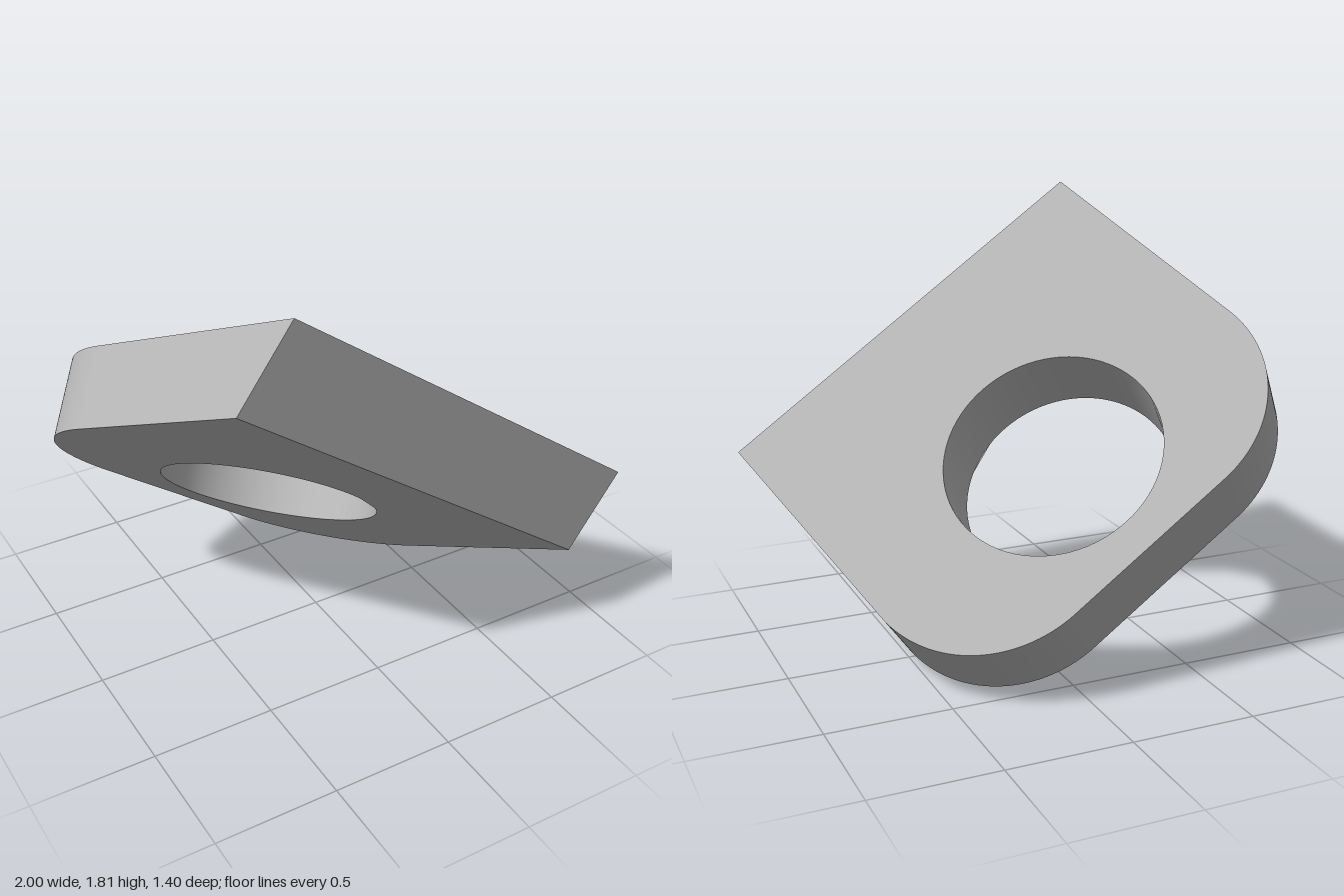
import * as THREE from 'three';
import { toCreasedNormals } from 'three/addons/utils/BufferGeometryUtils.js';

const HALF_WIDTH = 0.918, LENGTH = 1.617, CORNER = 0.54;
const THICKNESS = 0.325, HOLE_Y = 1.027, HOLE_RADIUS = 0.447;
const TILT = Math.PI / 6;

export function createModel() {
  const group = new THREE.Group();
  group.name = 'lugPlate';
  const grey = new THREE.MeshStandardMaterial({ color: 0xb4b4b4 });
  grey.name = 'plain grey';

  // Outline: square at the root, rounded at the far corners, with a round hole
  const inner = HALF_WIDTH - CORNER;
  const outline = new THREE.Shape();
  outline.moveTo(-HALF_WIDTH, 0);
  outline.lineTo(HALF_WIDTH, 0);
  outline.absarc(inner, LENGTH - CORNER, CORNER, 0, Math.PI / 2, false);
  outline.absarc(-inner, LENGTH - CORNER, CORNER, Math.PI / 2, Math.PI, false);
  outline.closePath();
  const hole = new THREE.Path();
  hole.absarc(0, HOLE_Y, HOLE_RADIUS, 0, Math.PI * 2, true);
  outline.holes.push(hole);

  const geometry = new THREE.ExtrudeGeometry(outline, {
    depth: THICKNESS, bevelEnabled: false, curveSegments: 40,
  });
  geometry.translate(0, 0, -THICKNESS);

  // Bevel the root so that its end face stands upright once tilted
  const p = geometry.attributes.position;
  for (let i = 0; i < p.count; i++) {
    if (Math.abs(p.getY(i)) < 1e-5) p.setY(i, -p.getZ(i) * Math.tan(TILT));
  }

  const plate = new THREE.Mesh(toCreasedNormals(geometry, 0.5), grey);
  plate.name = 'plate';

  // Tilt the plate: across the root, along its length, and out of its upper face
  const across = new THREE.Vector3(0.8125, -0.583, 0).normalize();
  const s = Math.sin(TILT), c = Math.cos(TILT);
  const along = new THREE.Vector3(across.y * s, -across.x * s, -c);
  const normal = new THREE.Vector3().crossVectors(across, along);
  plate.quaternion.setFromRotationMatrix(new THREE.Matrix4().makeBasis(across, along, normal));
  plate.position.set(0.255, 1.275, 0.7);
  group.add(plate);
  return group;
}
